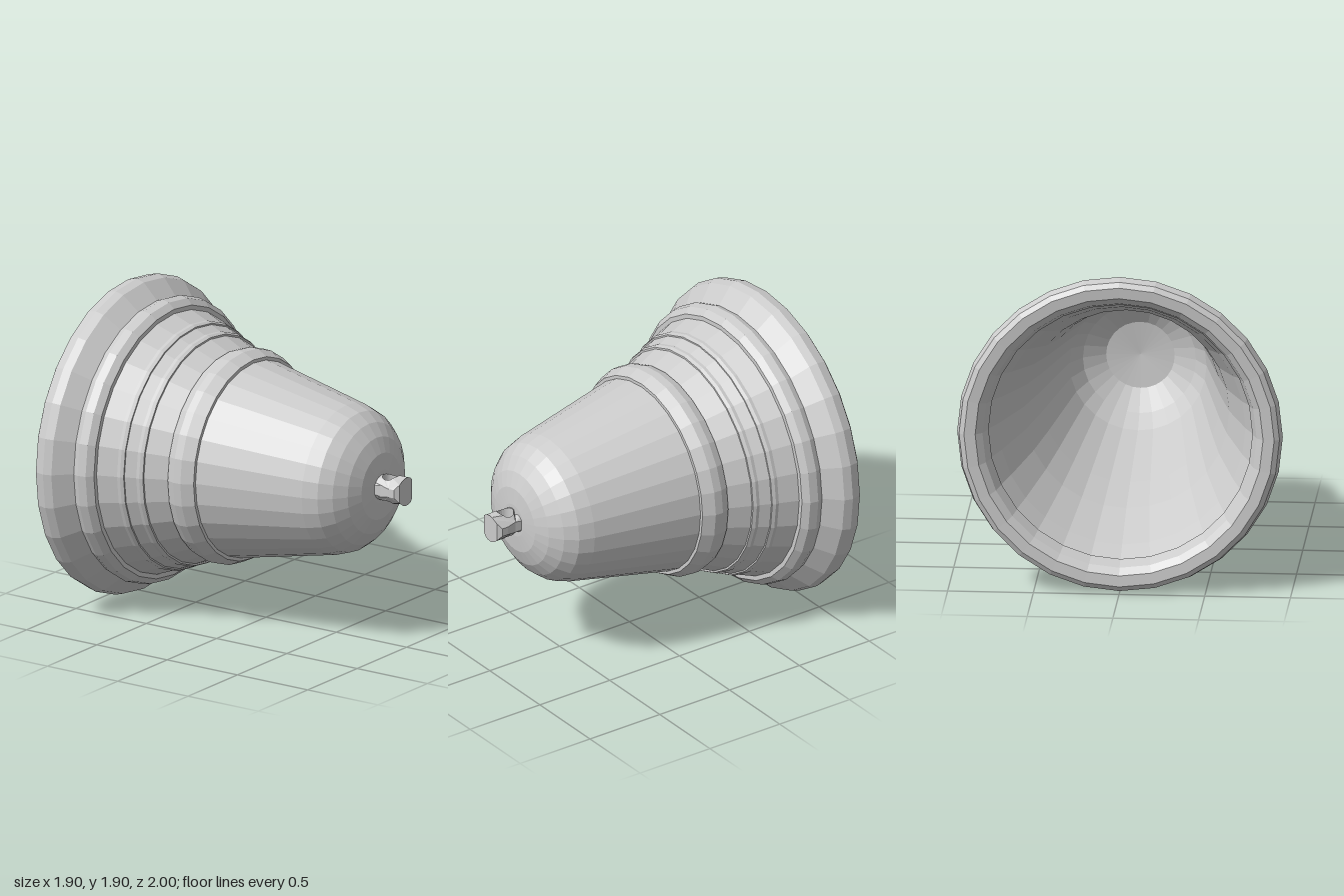
import * as THREE from 'three';

const SIDES = 28;
const material = new THREE.MeshStandardMaterial({ color: 0xcccccc, flatShading: true });

// Revolves [radius, z] points around the bell's horizontal axis
function revolve(name, profile) {
  const points = profile.map(([r, z]) => new THREE.Vector2(r, z));
  const geometry = new THREE.LatheGeometry(points, SIDES).rotateX(Math.PI / 2);
  const mesh = new THREE.Mesh(geometry, material);
  mesh.name = name;
  return mesh;
}

// Hanging eye: a short round peg pierced vertically
function makeEye() {
  const r = 0.085, base = 0.78, end = 1;
  const shape = new THREE.Shape();
  shape.moveTo(-r, base);
  for (let i = -3; i <= 4; i++) shape.lineTo(r * i / 4, base);
  shape.lineTo(r * 0.9, 0.87);
  shape.lineTo(r, 0.93);
  shape.lineTo(r, 0.97);
  for (let i = 3; i >= -3; i--) shape.lineTo(r * i / 4, Math.abs(i) === 3 ? end - 0.005 : end);
  shape.lineTo(-r, 0.97);
  shape.lineTo(-r, 0.93);
  shape.lineTo(-r * 0.9, 0.87);
  const hole = new THREE.Path();
  hole.absarc(0, 0.89, 0.05, 0, Math.PI * 2, true);
  shape.holes.push(hole);

  const geometry = new THREE.ExtrudeGeometry(shape, { depth: 2, bevelEnabled: false, curveSegments: 12 });
  geometry.translate(0, 0, -1).rotateX(Math.PI / 2);
  // Round the slab into a peg
  const p = geometry.attributes.position;
  for (let i = 0; i < p.count; i++) {
    const x = p.getX(i);
    const half = Math.max(0.025, Math.sqrt(Math.max(0, r * r - x * x)));
    const waist = p.getZ(i) < 0.92 ? 0.92 : 1;
    p.setY(i, p.getY(i) * half * waist);
  }
  geometry.computeVertexNormals();
  const mesh = new THREE.Mesh(geometry, material);
  mesh.name = 'hangingEye';
  return mesh;
}

export function createModel() {
  const bell = new THREE.Group();
  bell.name = 'bell';

  // Hollow shell: inside from the crown to the mouth, then back up outside
  bell.add(revolve('shell', [
    [0, 0.76], [0.2, 0.74], [0.33, 0.66], [0.4, 0.54],
    [0.53, -0.1], [0.6, -0.4], [0.72, -0.75], [0.81, -0.95],
    [0.86, -0.96], [0.84, -0.8], [0.785, -0.66], [0.735, -0.53], [0.685, -0.42],
    [0.61, -0.25], [0.585, -0.09], [0.45, 0.57],
    [0.42, 0.66], [0.365, 0.73], [0.29, 0.785], [0.2, 0.82], [0.1, 0.83], [0, 0.83],
  ]));

  // Thick rounded lip around the mouth
  bell.add(revolve('mouthLip', [
    [0.77, -0.88], [0.8, -0.96], [0.84, -0.995], [0.905, -1],
    [0.935, -0.98], [0.95, -0.92], [0.935, -0.87], [0.84, -0.775], [0.77, -0.775],
  ]));

  // Raised bands
  bell.add(revolve('lowerBand', [
    [0.74, -0.78], [0.84, -0.78], [0.855, -0.74], [0.845, -0.69], [0.81, -0.655], [0.76, -0.655],
  ]));
  bell.add(revolve('upperBand', [
    [0.58, -0.26], [0.625, -0.26], [0.642, -0.21], [0.64, -0.16], [0.605, -0.09], [0.57, -0.09],
  ]));

  // Two fine beads on the flare
  for (const [name, r, z] of [['lowerBead', 0.735, -0.52], ['upperBead', 0.69, -0.415]]) {
    bell.add(revolve(name, [
      [r - 0.03, z - 0.02], [r + 0.005, z - 0.02], [r + 0.005, z], [r - 0.005, z + 0.02], [r - 0.03, z + 0.02],
    ]));
  }

  bell.add(makeEye());
  bell.position.y = 0.95;

  const model = new THREE.Group();
  model.add(bell);
  return model;
}
